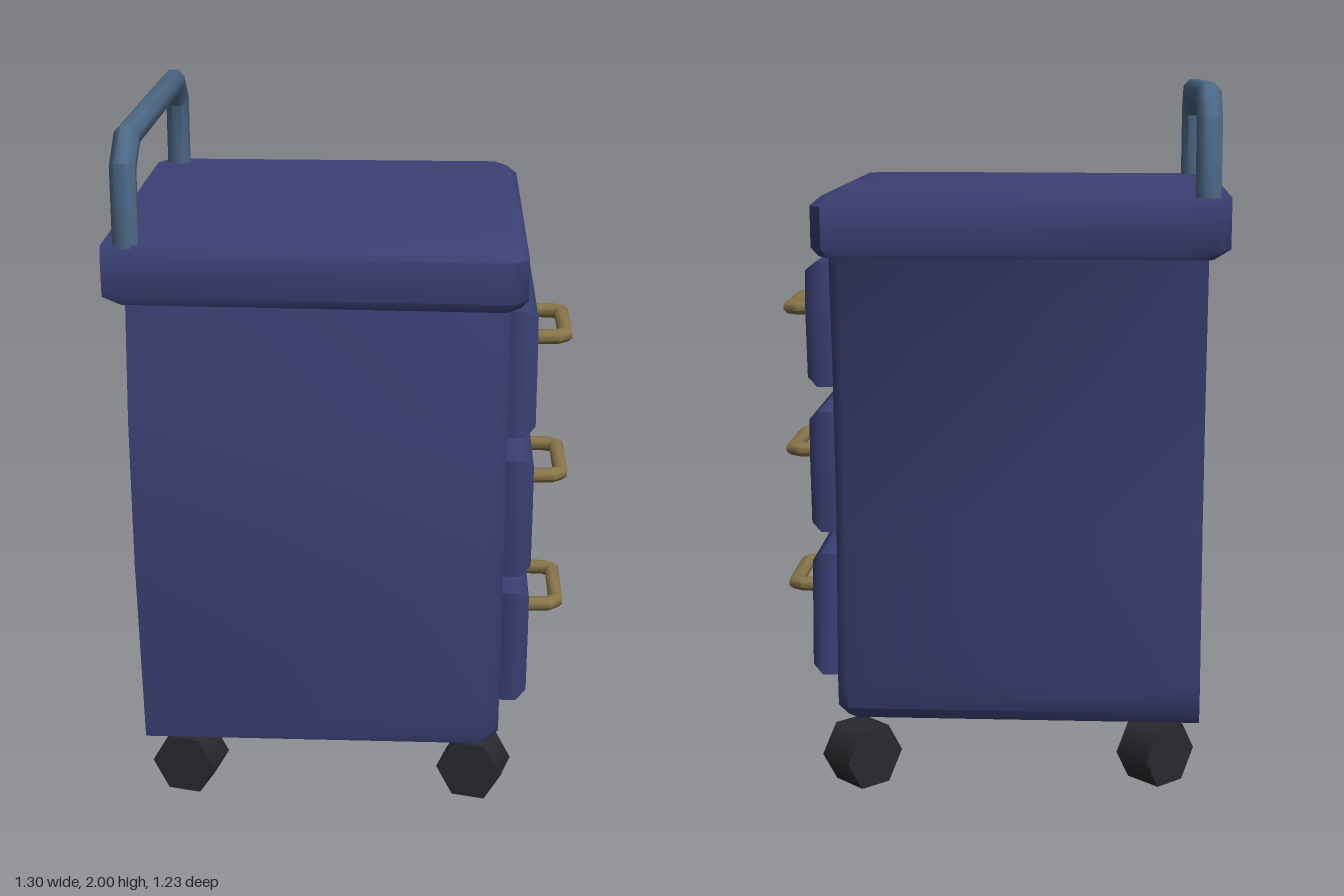
import * as THREE from 'three';
import { toCreasedNormals } from 'three/addons/utils/BufferGeometryUtils.js';

const material = (name, color, side = THREE.FrontSide) => {
  const m = new THREE.MeshStandardMaterial({ color, side });
  m.name = name;
  return m;
};

// Skin through rows of [x, y, z] points, all rows the same length
function loft(rows, crease = 0.9, closed = false) {
  const n = rows[0].length, index = [];
  for (let r = 0; r < rows.length - 1; r++) {
    for (let i = 0; i < (closed ? n : n - 1); i++) {
      const a = r * n + i, b = r * n + (i + 1) % n;
      index.push(a, b, b + n, a, b + n, a + n);
    }
  }
  const g = new THREE.BufferGeometry();
  g.setAttribute('position', new THREE.Float32BufferAttribute(rows.flat(2), 3));
  g.setIndex(index);
  return toCreasedNormals(g, crease);
}

// Mitred round bar along a path lying in the plane with the given normal
function bar(path, normal, radius, sides = 8) {
  const pts = path.map(p => new THREE.Vector3(...p));
  const rows = pts.map((p, i) => {
    const d0 = pts[Math.max(i, 1)].clone().sub(pts[Math.max(i, 1) - 1]).normalize();
    const j = Math.min(i, pts.length - 2);
    const d1 = pts[j + 1].clone().sub(pts[j]).normalize();
    const across = d0.clone().add(d1).normalize().cross(normal);
    const stretch = 1 / Math.sqrt((1 + d0.dot(d1)) / 2);
    return Array.from({ length: sides }, (_, k) => {
      const a = (k + 0.5) / sides * Math.PI * 2;
      return p.clone().addScaledVector(across, Math.cos(a) * radius * stretch)
        .addScaledVector(normal, Math.sin(a) * radius).toArray();
    });
  });
  return loft(rows, 0.9, true);
}

export function createModel() {
  const model = new THREE.Group();
  model.name = 'drawerCart';
  const blue = material('navy blue', 0x3b4074, THREE.DoubleSide);
  const slate = material('slate blue', 0x4c6885, THREE.DoubleSide);
  const brass = material('brass', 0x887548, THREE.DoubleSide);
  const black = material('wheel black', 0x2a2a2f);

  const add = (name, geometry, mat, parent = model) => {
    const mesh = new THREE.Mesh(geometry, mat);
    mesh.name = name;
    parent.add(mesh);
    return mesh;
  };

  // Bent cabinet shell, open at the back and underneath: [y, z left, z right, front x]
  const levels = [
    [0.187, 0.495, -0.475, 0.425], [0.22, 0.5, -0.495, 0.45], [0.3, 0.51, -0.503, 0.45],
    [0.77, 0.575, -0.485, 0.45], [1.2, 0.59, -0.515, 0.45], [1.55, 0.56, -0.567, 0.45],
  ];
  add('cabinetShell', loft(levels.map(([y, zl, zr, xf]) => [
    [-0.59, y, zl], [xf - 0.03, y, zl], [xf, y, zl - 0.03],
    [xf, y, zr + 0.03], [xf - 0.03, y, zr], [-0.59, y, zr],
  ])), blue);

  // Hollow lid, open at the back: [y, front inset, side inset, back x]
  const lidOutline = [
    [-0.65, 0.585], [0.455, 0.618], [0.497, 0.57],
    [0.497, -0.55], [0.46, -0.617], [-0.53, -0.615], [-0.62, -0.605], [-0.65, -0.55],
  ];
  const lidRow = (y, dx, dz, back, zScale = 1) => lidOutline.map(([x, z]) => [
    Math.max(x > 0 ? x - dx : x, back), y, (z - Math.sign(z) * dz) * zScale,
  ]);
  add('lid', loft([
    lidRow(1.53, 0.06, 0.055, -0.59), lidRow(1.53, 0.02, 0.018, -0.6),
    lidRow(1.555, 0, 0.006, -0.65), lidRow(1.67, 0, 0, -0.65),
    lidRow(1.695, 0.03, 0.012, -0.65), lidRow(1.695, 0.03, 0.012, -0.65, 0),
  ]), blue);

  // Push rail standing on the back of the lid
  add('pushRail', bar([
    [-0.585, 1.67, 0.545], [-0.585, 1.9, 0.545], [-0.585, 1.965, 0.455],
    [-0.585, 1.965, -0.48], [-0.585, 1.895, -0.557], [-0.585, 1.67, -0.557],
  ], new THREE.Vector3(1, 0, 0), 0.037), slate);

  // Three skewed drawer fronts, each outline as [z, y], with pulls
  const drawers = [
    { pull: 1.335, outline: [[0.52, 1.15], [0.52, 1.33], [0.495, 1.505], [-0.455, 1.505], [-0.475, 1.39], [-0.445, 1.15]] },
    { pull: 0.905, outline: [[0.492, 0.72], [0.513, 0.9], [0.5, 1.075], [-0.43, 1.075], [-0.435, 0.95], [-0.412, 0.72]] },
    { pull: 0.487, outline: [[0.435, 0.3], [0.46, 0.5], [0.465, 0.655], [-0.412, 0.655], [-0.425, 0.5], [-0.435, 0.3]] },
  ];
  for (const { pull, outline } of drawers) {
    const drawer = new THREE.Group();
    drawer.name = 'drawer';
    model.add(drawer);
    const shape = new THREE.Shape(outline.map(([z, y]) => new THREE.Vector2(-z, y)));
    const front = new THREE.ExtrudeGeometry(shape, {
      depth: 0.05, bevelSize: 0.025, bevelOffset: -0.025, bevelThickness: 0.03, bevelSegments: 1,
    });
    front.rotateY(Math.PI / 2).translate(0.45, 0, 0);
    add('drawerFront', toCreasedNormals(front, 0.9), blue, drawer);
    add('drawerPull', bar([
      [0.51, pull, 0.16], [0.6, pull, 0.155], [0.627, pull, 0.13],
      [0.627, pull, -0.105], [0.6, pull, -0.125], [0.51, pull, -0.13],
    ], new THREE.Vector3(0, 1, 0), 0.022), brass, drawer);
  }

  // Six-sided castors turned to different angles: [x, z, turn]
  const wheel = new THREE.CylinderGeometry(0.098, 0.098, 0.12, 6, 1, false, Math.PI / 2).rotateX(Math.PI / 2);
  for (const [x, z, turn] of [
    [0.38, 0.42, -0.26], [-0.467, 0.42, -0.26],
    [0.38, -0.483, Math.PI / 4], [-0.467, -0.42, Math.PI / 4],
  ]) {
    const castor = add('castorWheel', wheel, black);
    castor.position.set(x, 0.085, z);
    castor.rotation.y = turn;
  }
  return model;
}
